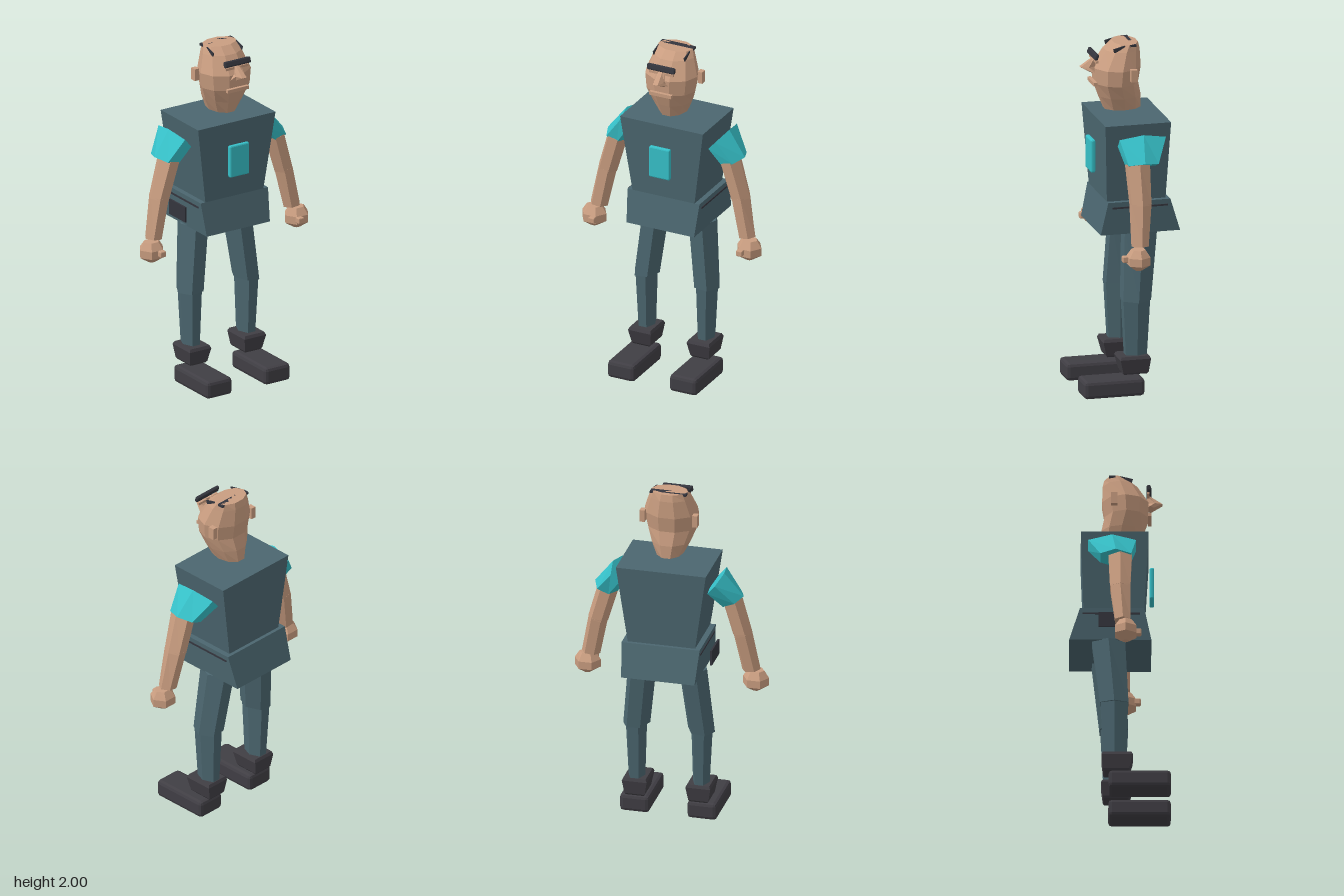
import * as THREE from 'three';
import { RoundedBoxGeometry } from 'three/addons/geometries/RoundedBoxGeometry.js';

const mat = (name, color) => {
  const m = new THREE.MeshStandardMaterial({ color, flatShading: true });
  m.name = name;
  return m;
};

// Closed tube through rings listed from top to bottom.
// Ring: [x, y, z centre, half-width x, rise of the half-width in y, half-depth z]
function loft(rings, n = 6) {
  const phase = n === 4 ? Math.PI / 4 : 0;
  const k = n === 4 ? Math.SQRT2 : 1;
  const pos = [], idx = [];
  for (const [x, y, z, hx, hy, rz] of rings) {
    for (let i = 0; i < n; i++) {
      const a = phase + (i / n) * Math.PI * 2;
      const c = k * Math.cos(a), s = k * Math.sin(a);
      pos.push(x + c * hx, y + c * hy, z + s * rz);
    }
  }
  for (let r = 0; r < rings.length - 1; r++) {
    for (let i = 0; i < n; i++) {
      const a = r * n + i, b = r * n + ((i + 1) % n);
      idx.push(a, b, a + n, b, b + n, a + n);
    }
  }
  const last = (rings.length - 1) * n;
  for (let i = 1; i < n - 1; i++) {
    idx.push(0, i + 1, i);
    idx.push(last, last + i, last + i + 1);
  }
  const g = new THREE.BufferGeometry();
  g.setAttribute('position', new THREE.Float32BufferAttribute(pos, 3));
  g.setIndex(idx);
  const flat = g.toNonIndexed();
  flat.computeVertexNormals();
  return flat;
}

// Mirrors a ring list to the chosen side.
const side = (rings, s) => rings.map(([x, y, z, hx, hy, rz]) => [s * x, y, z, hx, s * hy, rz]);

export function createModel() {
  const model = new THREE.Group();
  model.name = 'figure';

  const skin = mat('skin', 0xc99d80);
  const cloth = mat('slate cloth', 0x4b666f);
  const teal = mat('teal', 0x36c0c8);
  const leather = mat('dark leather', 0x403e44);
  const hair = mat('dark hair', 0x34353d);

  const add = (name, geo, material, x = 0, y = 0, z = 0) => {
    const m = new THREE.Mesh(geo, material);
    m.name = name;
    m.position.set(x, y, z);
    model.add(m);
    return m;
  };
  const box = (w, h, d) => new THREE.BoxGeometry(w, h, d);

  // Torso and flared hips
  add('torso', loft([
    [0, 1.58, -0.03, 0.26, 0, 0.19],
    [0, 1.125, -0.035, 0.195, 0, 0.17],
  ], 4), cloth);
  add('hips', loft([
    [0, 1.125, -0.045, 0.226, 0, 0.18],
    [0, 0.935, -0.055, 0.212, 0, 0.23],
  ], 4), cloth);
  add('chestPanel', new RoundedBoxGeometry(0.13, 0.19, 0.026, 1, 0.008), teal, 0, 1.355, 0.178);
  add('hipPlate', box(0.01, 0.09, 0.165), hair, -0.265, 1.035, -0.038);

  // Head
  add('head', loft([
    [0, 2.0, -0.02, 0.105, 0, 0.072],
    [0, 1.96, 0.0, 0.122, 0, 0.102],
    [0, 1.86, 0.03, 0.157, 0, 0.137],
    [0, 1.77, 0.035, 0.147, 0, 0.127],
    [0, 1.69, 0.012, 0.115, 0, 0.122],
    [0, 1.615, -0.003, 0.078, 0, 0.108],
  ], 10), skin);
  add('hairStrip', box(0.21, 0.012, 0.036), hair, 0, 1.994, -0.043);
  const brow = add('brow', new RoundedBoxGeometry(0.175, 0.036, 0.022, 1, 0.008), hair, 0, 1.935, 0.163);
  brow.rotation.x = -0.35;
  add('nose', loft([
    [0, 1.915, 0.16, 0.018, 0, 0.008],
    [0, 1.865, 0.195, 0.03, 0, 0.05],
    [0, 1.838, 0.17, 0.05, 0, 0.02],
  ], 6), skin);
  add('mouth', box(0.14, 0.02, 0.02), skin, 0, 1.775, 0.167);

  for (const s of [1, -1]) {
    const p = s > 0 ? 'left' : 'right';

    // Face details
    add(p + 'Ear', box(0.03, 0.07, 0.038), skin, s * 0.152, 1.835, -0.033);
    add(p + 'EyeLid', box(0.06, 0.014, 0.014), skin, s * 0.045, 1.905, 0.158);
    const temple = add(p + 'TempleHair', box(0.006, 0.022, 0.07), hair, s * 0.097, 1.978, 0.035);
    temple.rotation.x = 0.25;

    // Belt strip along the hip
    add(p + 'BeltStrip', box(0.008, 0.01, 0.32), hair, s * 0.224, 1.092, -0.05);

    // Arm
    add(p + 'Sleeve', loft(side([
      [0.28, 1.485, -0.045, 0.042, 0.05, 0.155],
      [0.364, 1.37, -0.025, 0.066, 0.026, 0.1],
    ], s)), teal);
    add(p + 'UpperArm', loft(side([
      [0.353, 1.38, 0, 0.058, 0.014, 0.075],
      [0.418, 1.155, 0, 0.057, 0.01, 0.065],
    ], s)), skin);
    add(p + 'Forearm', loft(side([
      [0.417, 1.165, 0, 0.055, 0.008, 0.066],
      [0.464, 0.932, 0.015, 0.053, 0.006, 0.05],
    ], s)), skin);
    add(p + 'Hand', loft(side([
      [0.487, 0.922, 0.03, 0.048, 0, 0.04],
      [0.487, 0.88, 0.03, 0.075, 0, 0.07],
      [0.487, 0.835, 0.03, 0.075, 0, 0.07],
      [0.487, 0.8, 0.03, 0.02, 0, 0.02],
    ], s)), skin);
    add(p + 'Thumb', new RoundedBoxGeometry(0.038, 0.036, 0.06, 1, 0.006), skin, s * 0.464, 0.863, 0.088);

    // Leg
    add(p + 'Thigh', loft(side([
      [0.145, 0.945, -0.065, 0.083, -0.006, 0.108],
      [0.187, 0.548, -0.033, 0.078, -0.008, 0.092],
    ], s)), cloth);
    add(p + 'Shin', loft(side([
      [0.19, 0.56, -0.032, 0.062, 0, 0.09],
      [0.186, 0.215, -0.032, 0.048, 0, 0.07],
    ], s)), cloth);

    // Boot cuff and shoe
    add(p + 'BootCuff', loft([
      [s * 0.184, 0.227, -0.017, 0.064, 0, 0.08],
      [s * 0.184, 0.21, -0.017, 0.072, 0, 0.088],
      [s * 0.184, 0.13, -0.022, 0.058, 0, 0.073],
      [s * 0.184, 0.12, -0.022, 0.05, 0, 0.066],
    ], 4), leather);
    add(p + 'Shoe', new RoundedBoxGeometry(0.17, 0.102, 0.35, 1, 0.02), leather, s * 0.195, 0.053, 0.11);
  }
  return model;
}
